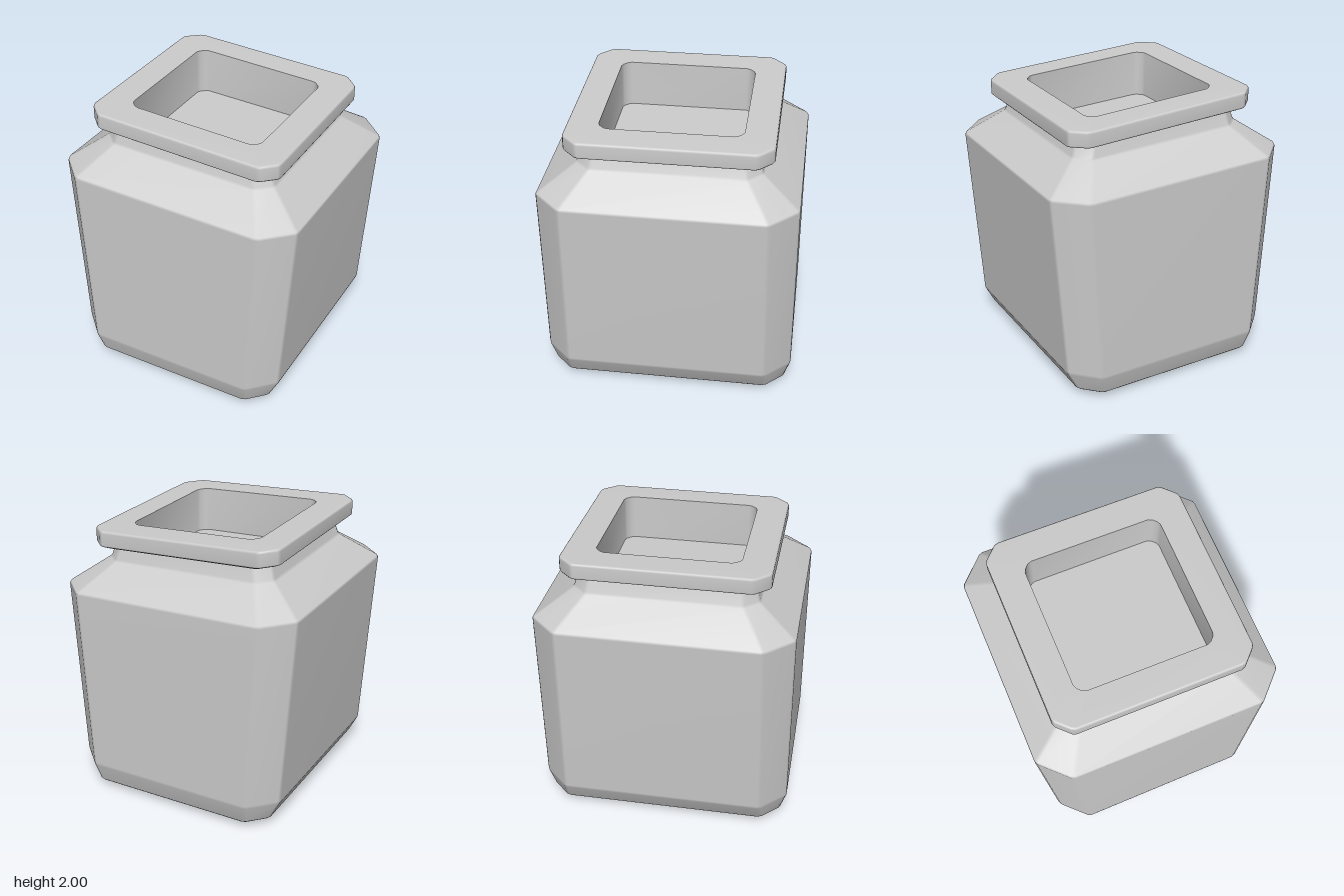
import * as THREE from 'three';
import { toCreasedNormals } from 'three/addons/utils/BufferGeometryUtils.js';

// Adds two close points around each corner of a polyline so smooth normals stay tight.
function soften(points, amount, closed) {
  const out = [], n = points.length;
  const toward = (a, b) => {
    const len = Math.hypot(...a.map((v, k) => b[k] - v)) || 1;
    const t = Math.min(amount / len, 0.3);
    return a.map((v, k) => v + (b[k] - v) * t);
  };
  points.forEach((p, i) => {
    if (!closed && (i === 0 || i === n - 1)) out.push(p);
    else out.push(toward(p, points[(i + n - 1) % n]), toward(p, points[(i + 1) % n]));
  });
  return out;
}

// Square section with cut corners, counter-clockwise from above; height falls towards +x.
function ring([hx, hz, cut, y, tilt]) {
  const a = hx - cut, b = hz - cut;
  const corners = [[hx, b], [hx, -b], [a, -hz], [-a, -hz], [-hx, -b], [-hx, b], [-a, hz], [a, hz]];
  return soften(corners, 0.015, true).map(([x, z]) => [x, y - tilt * x, z]);
}

// Skins a stack of sections: [half width, half depth, corner cut, height, tilt].
function loft(rows) {
  const rings = rows.map(ring), n = rings[0].length, index = [];
  for (let i = 0; i < rings.length - 1; i++) {
    for (let j = 0; j < n; j++) {
      const k = (j + 1) % n;
      const a = i * n + j, b = i * n + k, c = a + n, d = b + n;
      index.push(a, b, d, a, d, c);
    }
  }
  const geometry = new THREE.BufferGeometry();
  geometry.setAttribute('position', new THREE.Float32BufferAttribute(rings.flat(2), 3));
  geometry.setIndex(index);
  geometry.computeVertexNormals();
  return geometry;
}

export function createModel() {
  const group = new THREE.Group();
  const material = new THREE.MeshStandardMaterial({ color: 0xcccccc, side: THREE.DoubleSide });
  const add = (name, geometry) => {
    const mesh = new THREE.Mesh(geometry, material);
    mesh.name = name;
    group.add(mesh);
  };

  // Flat underside
  add('base', loft([[0, 0, 0, 0, 0], [0.585, 0.69, 0.1, 0, 0]]));

  // Tapered body, sloping shoulder and neck
  add('body', loft(soften([
    [0.585, 0.69, 0.1, 0, 0],
    [0.72, 0.845, 0.13, 0.05, 0],
    [0.797, 0.89, 0.18, 0.2, 0],
    [0.89, 0.89, 0.195, 1.545, 0.028],
    [0.637, 0.63, 0.1, 1.725, 0.034],
    [0.6, 0.6, 0.09, 1.84, 0.045],
  ], 0.012, false)));

  // Overhanging rim with a flat top
  add('rim', loft(soften([
    [0.6, 0.6, 0.09, 1.835, 0.045],
    [0.655, 0.655, 0.09, 1.83, 0.048],
    [0.706, 0.706, 0.105, 1.855, 0.049],
    [0.706, 0.706, 0.105, 1.955, 0.049],
    [0.695, 0.695, 0.1, 1.965, 0.049],
    [0.49, 0.49, 0.05, 1.965, 0.049],
  ], 0.008, false)));

  // Straight-walled opening with a shallow floor
  add('opening', toCreasedNormals(loft([
    [0.49, 0.49, 0.05, 1.965, 0.049],
    [0.49, 0.49, 0.05, 1.635, 0.04],
    [0, 0, 0, 1.635, 0.04],
  ]), 0.6));

  return group;
}
